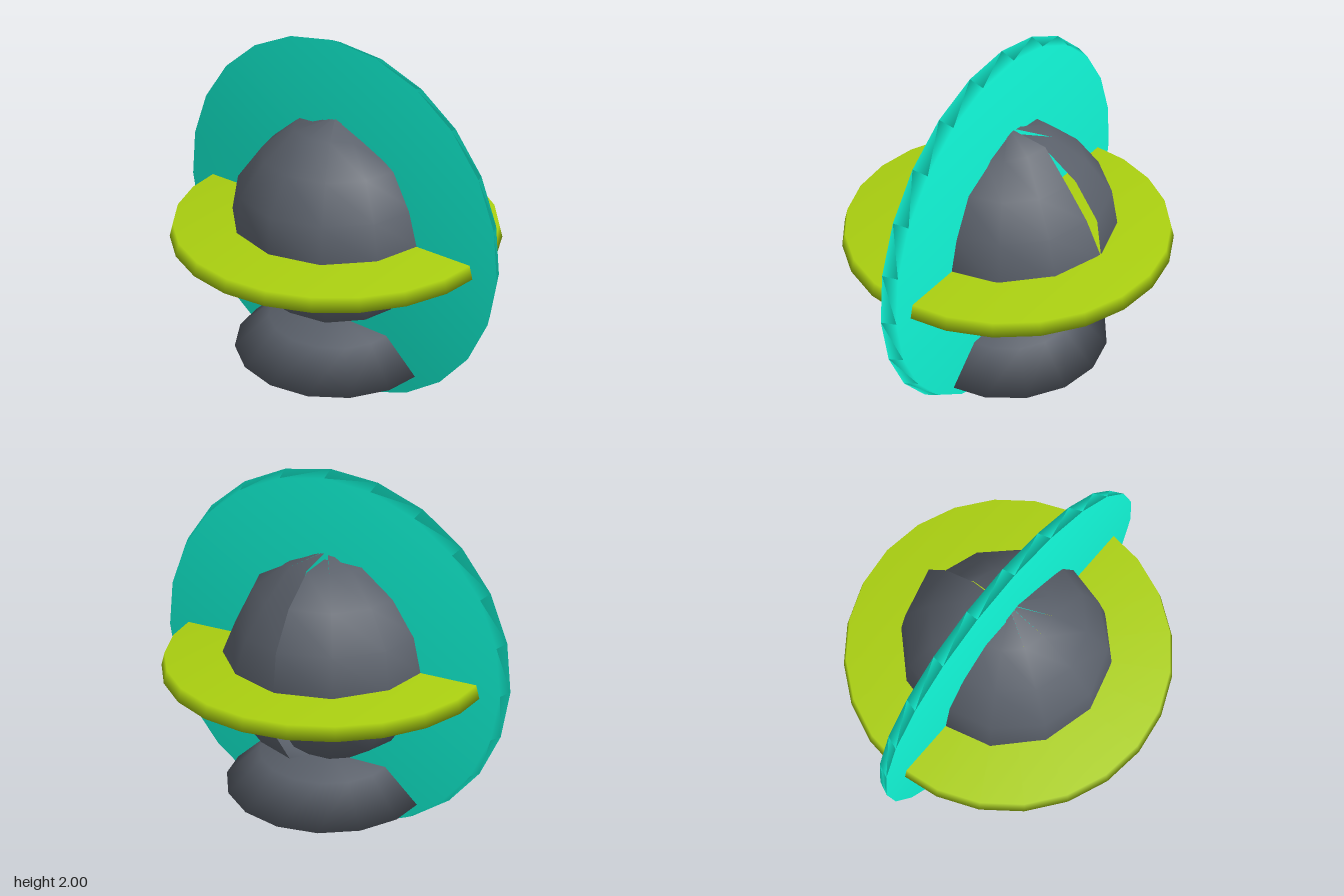
import * as THREE from 'three';
import { mergeVertices } from 'three/addons/utils/BufferGeometryUtils.js';

const paint = (color) => new THREE.MeshStandardMaterial({ color, side: THREE.DoubleSide });

// Low-poly tapered disc whose rim is shaded softly into its caps
function taperedDisc(name, rTop, rBottom, height, segments, material) {
  const raw = new THREE.CylinderGeometry(rTop, rBottom, height, segments);
  raw.deleteAttribute('uv');
  raw.deleteAttribute('normal');
  const geometry = mergeVertices(raw, 1e-4);
  geometry.computeVertexNormals();
  const mesh = new THREE.Mesh(geometry, material);
  mesh.name = name;
  return mesh;
}

// Lumpy globe: five pole-to-pole radius profiles blended around the axis.
// The first and last profiles meet at +x with different radii, leaving a crack.
function lumpyGlobe(material) {
  const profiles = [
    [0.56, 0.58, 0.57, 0.58, 0.57, 0.54, 0.53, 0.55, 0.56], // +x, back lip
    [0.55, 0.57, 0.545, 0.56, 0.565, 0.55, 0.565, 0.57, 0.56], // back
    [0.59, 0.58, 0.555, 0.57, 0.55, 0.55, 0.56, 0.54, 0.55], // -x
    [0.57, 0.54, 0.56, 0.525, 0.55, 0.53, 0.57, 0.53, 0.56], // front
    [0.57, 0.58, 0.50, 0.52, 0.57, 0.60, 0.59, 0.55, 0.56], // +x, front lip
  ];
  const columns = 12, rows = 8;
  const geometry = new THREE.SphereGeometry(1, columns, rows).rotateY(Math.PI);
  const pos = geometry.attributes.position;
  const v = new THREE.Vector3();
  let seed = 7;
  const random = () => (seed = (seed * 16807) % 2147483647) / 2147483647;

  for (let i = 0; i < pos.count; i++) {
    const row = Math.floor(i / (columns + 1));
    const t = ((i % (columns + 1)) / columns) * 4;
    const k = Math.min(3, Math.floor(t));
    let r = THREE.MathUtils.lerp(profiles[k][row], profiles[k + 1][row], t - k);
    // Uneven tips crumple the poles
    const roughness = row === 0 || row === rows ? 0.04 : 0.02;
    r += (random() - 0.5) * roughness;
    v.fromBufferAttribute(pos, i).setLength(r);
    pos.setXYZ(i, v.x, v.y, v.z);
  }
  geometry.computeVertexNormals();
  const mesh = new THREE.Mesh(geometry, material);
  mesh.name = 'globe';
  return mesh;
}

export function createModel() {
  const model = new THREE.Group();
  model.name = 'ringedGlobe';
  const slate = paint(0x5a606a);

  const globe = lumpyGlobe(slate);
  globe.position.y = 1.01;

  // Level disc around the middle
  const levelDisc = taperedDisc('levelDisc', 0.85, 0.87, 0.07, 24, paint(0xaacf10));
  levelDisc.position.y = 1;

  // Upright disc, wider on its -x face
  const uprightDisc = taperedDisc('uprightDisc', 0.97, 1, 0.07, 24, paint(0x10f5d5));
  uprightDisc.rotation.z = -Math.PI / 2;
  uprightDisc.position.y = 1;

  // Sloping foot under the globe
  const foot = taperedDisc('foot', 0.37, 0.56, 0.18, 16, slate);
  foot.position.y = 0.35;

  model.add(globe, levelDisc, uprightDisc, foot);
  return model;
}
